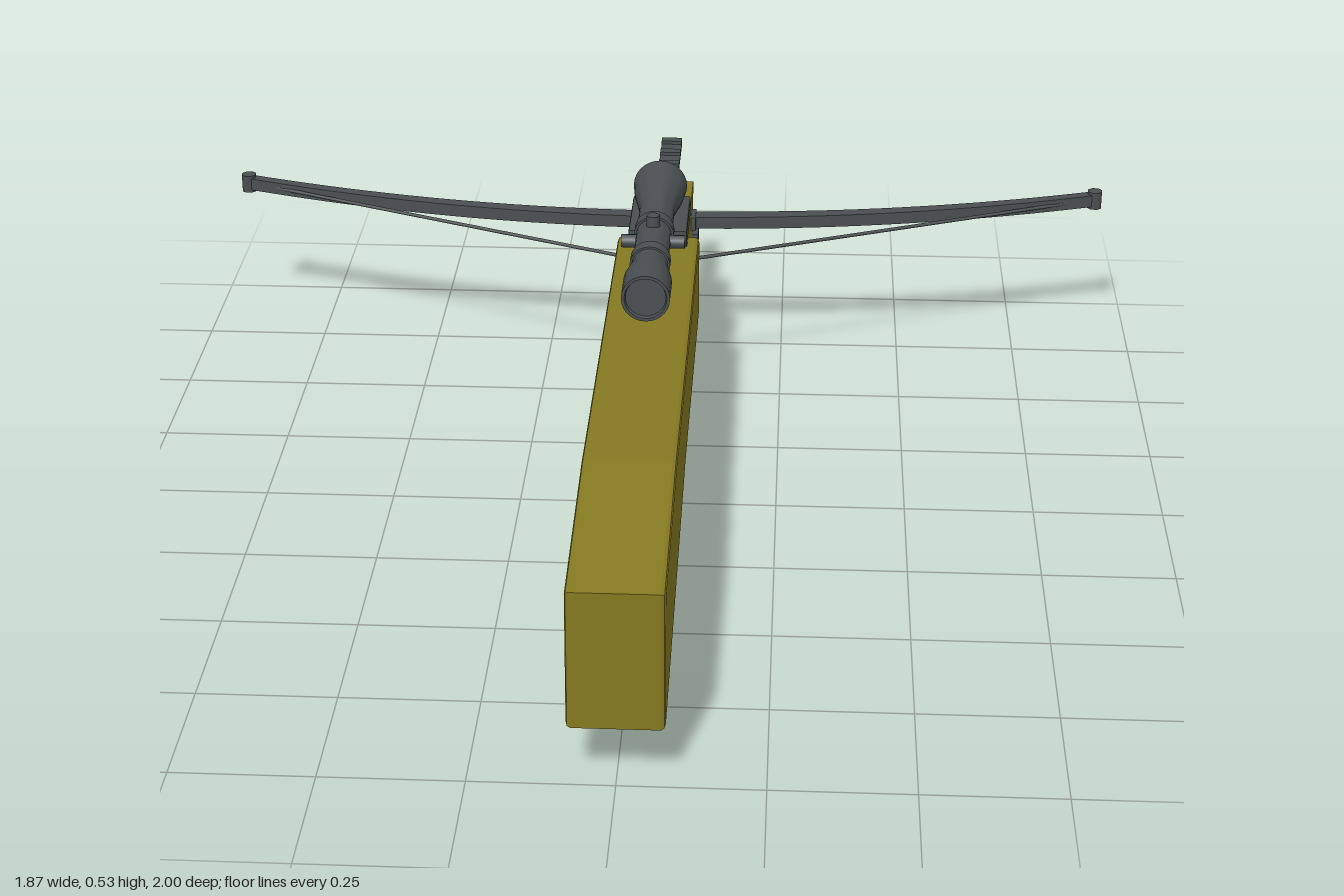
import * as THREE from 'three';
import { toCreasedNormals } from 'three/addons/utils/BufferGeometryUtils.js';

export function createModel() {
  const olive = new THREE.MeshStandardMaterial({ name: 'oliveStock', color: 0x857921 });
  const metal = new THREE.MeshStandardMaterial({ name: 'gunmetal', color: 0x4a4f51 });
  const root = new THREE.Group();
  root.name = 'crossbow';

  const add = (name, geo, mat, x = 0, y = 0, z = 0) => {
    const mesh = new THREE.Mesh(geo, mat);
    mesh.name = name;
    mesh.position.set(x, y, z);
    root.add(mesh);
    return mesh;
  };
  // Box given by its x half-width and its y and z ranges
  const box = (name, mat, hw, y0, y1, z0, z1, x = 0) =>
    add(name, new THREE.BoxGeometry(hw * 2, y1 - y0, Math.abs(z1 - z0)), mat, x, (y0 + y1) / 2, (z0 + z1) / 2);
  // Side profile of [z, y] points, extruded symmetrically across x
  const profile = (pts, width, bevel = 0) => {
    const shape = new THREE.Shape(pts.map(([z, y]) => new THREE.Vector2(-z, y)));
    const geo = new THREE.ExtrudeGeometry(shape, {
      depth: width - 2 * bevel, bevelEnabled: bevel > 0, bevelSize: bevel,
      bevelThickness: bevel, bevelOffset: -bevel, bevelSegments: 2,
    });
    geo.translate(0, 0, bevel - width / 2);
    return geo.rotateY(Math.PI / 2);
  };
  const rod = (name, a, b, r, mat) => add(name,
    new THREE.TubeGeometry(new THREE.LineCurve3(new THREE.Vector3(...a), new THREE.Vector3(...b)), 1, r, 6), mat);

  // Stock and fore-end
  add('stock', profile([[1, 0.11], [1, 0.365], [0.6, 0.4], [-0.41, 0.39], [-0.41, 0.22], [0.24, 0.21]], 0.165, 0.008), olive);
  box('foreEnd', olive, 0.055, 0.252, 0.36, -0.38, -0.79);
  box('frontFoot', metal, 0.068, 0.23, 0.26, -0.735, -0.8);

  // Toothed top rail, and the slim rod beneath its free end
  box('topRail', metal, 0.022, 0.364, 0.372, -0.41, -1);
  for (let i = 0; i < 9; i++) {
    const z = -0.44 - i * 0.067;
    box('railTooth', metal, 0.022, 0.371, 0.379, z, z - 0.022);
  }
  box('lowerRod', metal, 0.012, 0.336, 0.346, -0.78, -1);
  box('rodCollar', metal, 0.017, 0.331, 0.351, -0.84, -0.915);

  // Bow limbs: tapered arc in plan
  const arc = x => -0.695 - 0.165 * (x / 0.92) ** 2;
  const front = [], back = [];
  for (let i = -20; i <= 20; i++) {
    const x = i / 20 * 0.92;
    const half = 0.017 - 0.005 * Math.abs(i / 20);
    front.push(new THREE.Vector2(x, -arc(x) - half));
    back.unshift(new THREE.Vector2(x, -arc(x) + half));
  }
  const bow = new THREE.ExtrudeGeometry(new THREE.Shape([...front, ...back]), { depth: 0.026, bevelEnabled: false });
  bow.translate(0, 0, -0.013).rotateX(-Math.PI / 2);
  add('bowLimbs', toCreasedNormals(bow, 0.5), metal, 0, 0.31, 0);

  for (const s of [-1, 1]) {
    const tip = add('limbTip', new THREE.CylinderGeometry(0.016, 0.016, 0.038, 8), metal, s * 0.918, 0.31, -0.859);
    tip.rotation.y = s * 0.3;
    rod('bowString', [s * 0.915, 0.31, -0.855], [s * 0.04, 0.31, -0.477], 0.004, metal);
    box('limbClamp', metal, 0.006, 0.295, 0.325, -0.67, -0.72, s * 0.059);
  }

  // Raked pistol grip with metal side plates
  const grip = [[0.25, 0.22], [0.302, 0.03], [0.238, 0.03], [0.175, 0.22]];
  add('grip', profile(grip, 0.088), olive);
  for (const s of [-1, 1]) add('gripSidePlate', profile(grip, 0.006), metal, s * 0.045, 0, 0);
  box('gripCollar', olive, 0.045, 0.012, 0.032, 0.308, 0.235);
  box('gripBase', metal, 0.042, 0, 0.014, 0.32, 0.222);

  // Trigger and guard
  box('guardBar', olive, 0.013, 0.157, 0.165, 0.165, 0.015);
  box('guardPost', olive, 0.013, 0.157, 0.222, 0.022, 0.014);
  add('trigger', profile([[0.072, 0.225], [0.066, 0.2], [0.055, 0.188], [0.062, 0.188], [0.076, 0.2], [0.082, 0.225]], 0.012), metal);

  // Scope body, turned about its axis; the last point is the eyepiece end
  const scopePts = [[0, -0.468], [0.046, -0.468], [0.048, -0.475], [0.054, -0.475], [0.05, -0.43],
    [0.035, -0.34], [0.034, -0.08], [0.037, -0.04], [0.046, 0.01], [0.046, 0.09],
    [0.04, 0.09], [0.038, 0.083], [0, 0.083]].map(([r, z]) => new THREE.Vector2(r, z));
  const scope = new THREE.LatheGeometry(scopePts, 28).rotateX(Math.PI / 2);
  add('scopeBody', toCreasedNormals(scope, 0.6), metal, 0, 0.476, 0);

  // Adjustment turrets on the top and both sides
  const turret = (x, y, turn) => {
    add('scopeTurret', new THREE.CylinderGeometry(0.013, 0.013, 0.036, 12), metal, x, y, -0.185).rotation.z = turn;
  };
  turret(0, 0.513, 0);
  turret(0.044, 0.476, Math.PI / 2);
  turret(-0.044, 0.476, Math.PI / 2);

  // Scope rings, feet and mounting block
  for (const z of [-0.08, -0.23]) {
    add('scopeRing', new THREE.CylinderGeometry(0.039, 0.039, 0.03, 24), metal, 0, 0.476, z).rotation.x = Math.PI / 2;
    box('scopeFoot', metal, 0.026, 0.39, 0.445, z + 0.022, z - 0.022);
  }
  add('mountBlock', profile([[-0.36, 0.385], [-0.36, 0.424], [-0.55, 0.424], [-0.55, 0.385]], 0.118, 0.005), metal);
  box('mountPost', metal, 0.03, 0.36, 0.39, -0.42, -0.54);

  return root;
}
